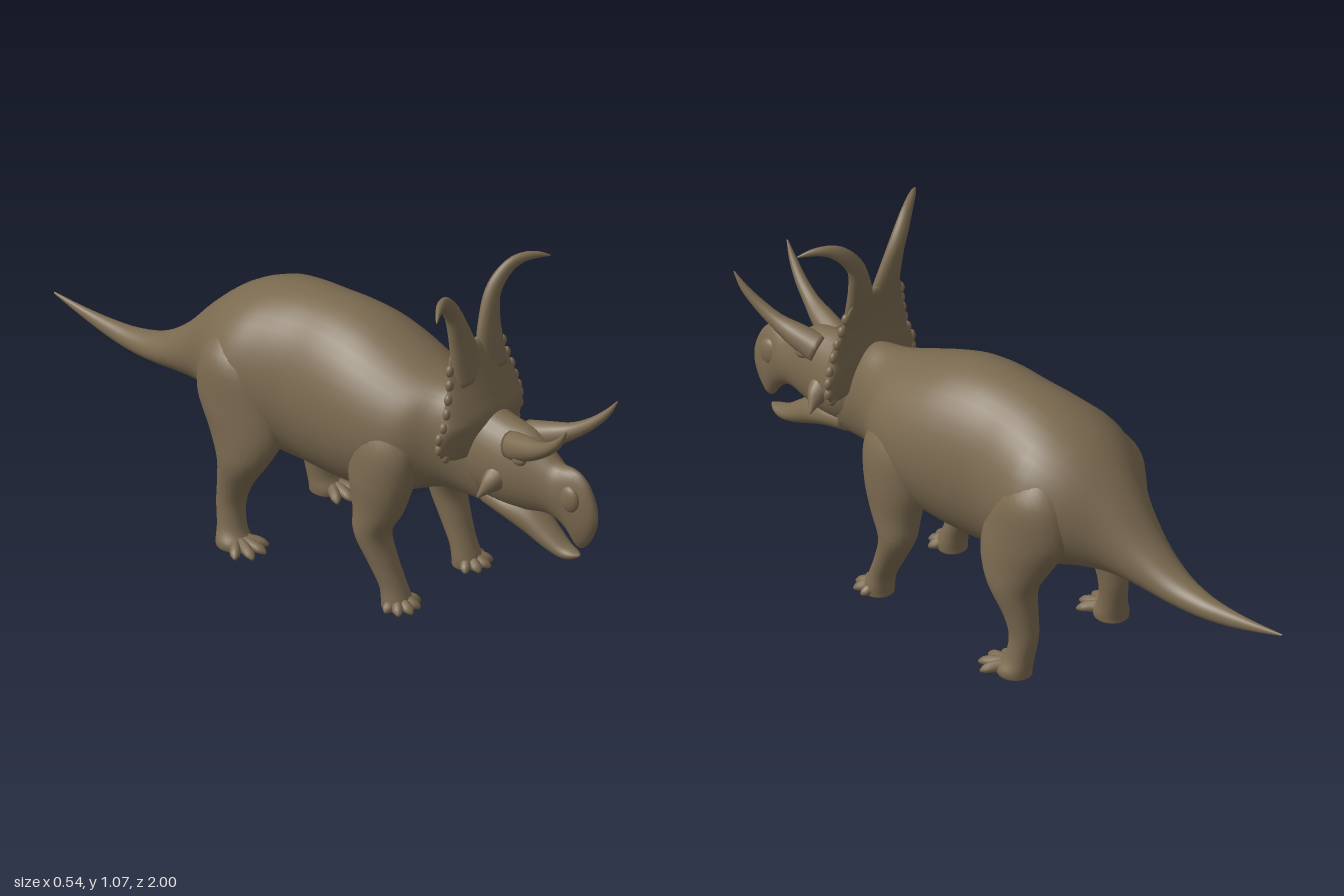
import * as THREE from 'three';

const hide = new THREE.MeshStandardMaterial({ color: 0x7b6a50 });
hide.name = 'brown hide';
const Y = new THREE.Vector3(0, 1, 0), Z = new THREE.Vector3(0, 0, 1);

// Smooth interpolation through rows of numbers
function smooth(rows, steps) {
  const out = [], n = rows.length - 1;
  for (let i = 0; i < n; i++) for (let s = 0; s < steps; s++) {
    const t = s / steps, at = k => rows[Math.min(n, Math.max(0, k))];
    out.push(rows[i].map((b, c) => {
      const a = at(i - 1)[c], d = at(i + 1)[c], e = at(i + 2)[c];
      return b + 0.5 * t * (d - a + t * (2 * a - 5 * b + 4 * d - e + t * (3 * (b - d) + e - a)));
    }));
  }
  out.push(rows[n]);
  return out;
}

// Loft of ellipses; each row is [x, y, z, radiusU, radiusV].
// mode 'z': rings in the xy plane, 'y': rings in the xz plane, 'path': rings across the path
function loft(name, rows, mode, { sides = 28, steps = 4, ref = Z, bend } = {}) {
  const pts = smooth(rows, steps), pos = [], idx = [], n = pts.length;
  const centre = i => new THREE.Vector3(...pts[Math.min(n - 1, Math.max(0, i))].slice(0, 3));
  const p = new THREE.Vector3();
  for (let i = 0; i < n; i++) {
    const u = new THREE.Vector3(1, 0, 0), v = (mode === 'z' ? Y : Z).clone();
    if (mode === 'path') {
      const t = centre(i + 1).sub(centre(i - 1)).normalize();
      u.crossVectors(t, ref).normalize();
      v.crossVectors(u, t);
    }
    for (let j = 0; j < sides; j++) {
      const a = j / sides * Math.PI * 2;
      p.copy(centre(i)).addScaledVector(u, Math.cos(a) * Math.max(0.001, pts[i][3]))
        .addScaledVector(v, Math.sin(a) * Math.max(0.001, pts[i][4]));
      if (bend) bend(p);
      pos.push(p.x, p.y, p.z);
      const k = (j + 1) % sides, q = i * sides;
      if (i < n - 1) idx.push(q + j, q + k, q + sides + j, q + k, q + sides + k, q + sides + j);
    }
  }
  pos.push(...centre(0).toArray(), ...centre(n - 1).toArray());
  const c0 = n * sides, last = (n - 1) * sides;
  for (let j = 0; j < sides; j++) {
    const k = (j + 1) % sides;
    idx.push(c0, k, j, c0 + 1, last + j, last + k);
  }
  // Turn the faces outward when the enclosed volume comes out negative
  const P = i => new THREE.Vector3().fromArray(pos, i * 3);
  let volume = 0;
  const o = P(c0);
  for (let i = 0; i < idx.length; i += 3)
    volume += P(idx[i]).sub(o).dot(P(idx[i + 1]).sub(o).cross(P(idx[i + 2]).sub(o)));
  if (volume < 0) idx.reverse();
  const g = new THREE.BufferGeometry();
  g.setAttribute('position', new THREE.Float32BufferAttribute(pos, 3));
  g.setIndex(idx);
  g.computeVertexNormals();
  const mesh = new THREE.Mesh(g, hide);
  mesh.name = name;
  return mesh;
}

// Side profile [z, top, bottom, halfWidth] to loft rows
const profile = rows => rows.map(([z, t, b, w]) => [0, (t + b) / 2, z, w, (t - b) / 2]);
const flip = (rows, s) => rows.map(([x, ...r]) => [x * s, ...r]);

function blob(name, x, y, z, rx, ry, rz) {
  const m = new THREE.Mesh(new THREE.SphereGeometry(1, 16, 12), hide);
  m.name = name;
  m.position.set(x, y, z);
  m.scale.set(rx, ry, rz);
  return m;
}

// Toes fan out from the foot; each toe is [angle, length]
function toes(group, name, x, z, s, list) {
  for (const [deg, len] of list) {
    const a = THREE.MathUtils.degToRad(deg), dx = Math.sin(a), dz = Math.cos(a);
    const row = (f, y, r, h) => [(x + dx * len * f) * s, y, z + dz * len * f, r, h];
    group.add(loft(name, [row(0.2, 0.022, 0.018, 0.02), row(0.6, 0.019, 0.016, 0.017),
      row(0.85, 0.014, 0.014, 0.012), row(1, 0.007, 0.004, 0.005)], 'path', { sides: 10, steps: 3, ref: Y }));
  }
}

export function createModel() {
  const model = new THREE.Group();
  model.name = 'horned dinosaur';

  // Trunk, neck and tail
  model.add(loft('body', profile([
    [-1, 0.402, 0.396, 0.003], [-0.9, 0.395, 0.366, 0.012], [-0.8, 0.393, 0.342, 0.023],
    [-0.7, 0.4, 0.331, 0.037], [-0.6, 0.43, 0.335, 0.055], [-0.5, 0.505, 0.345, 0.077],
    [-0.4, 0.615, 0.35, 0.115], [-0.3, 0.705, 0.34, 0.185], [-0.2, 0.757, 0.305, 0.225],
    [-0.1, 0.785, 0.272, 0.215], [0, 0.797, 0.264, 0.203], [0.1, 0.8, 0.262, 0.208],
    [0.2, 0.786, 0.267, 0.212], [0.3, 0.752, 0.285, 0.205], [0.4, 0.712, 0.335, 0.178],
    [0.47, 0.693, 0.36, 0.125], [0.54, 0.685, 0.362, 0.092], [0.63, 0.64, 0.36, 0.075]]), 'z', { sides: 40 }));

  // Skull with hooked beak, and the open lower jaw
  model.add(loft('skull', profile([
    [0.53, 0.66, 0.44, 0.06], [0.6, 0.668, 0.4, 0.088], [0.68, 0.655, 0.385, 0.088],
    [0.76, 0.645, 0.395, 0.075], [0.82, 0.605, 0.41, 0.06], [0.86, 0.58, 0.408, 0.05],
    [0.9, 0.582, 0.382, 0.042], [0.935, 0.576, 0.338, 0.034], [0.965, 0.55, 0.358, 0.026],
    [0.988, 0.505, 0.4, 0.016], [0.999, 0.465, 0.435, 0.004]]), 'z'));
  model.add(loft('lower jaw', profile([
    [0.62, 0.45, 0.365, 0.06], [0.7, 0.44, 0.35, 0.066], [0.77, 0.415, 0.32, 0.052],
    [0.83, 0.368, 0.296, 0.041], [0.88, 0.33, 0.285, 0.031], [0.915, 0.318, 0.293, 0.02],
    [0.935, 0.313, 0.306, 0.004]]), 'z'));

  // Neck frill: a wide thin shield with its sides swept back
  const frill = [[0.535, 0.59, 0.125, 0.012], [0.555, 0.59, 0.165, 0.022], [0.6, 0.592, 0.178, 0.032],
    [0.64, 0.594, 0.168, 0.042], [0.67, 0.592, 0.153, 0.042], [0.71, 0.585, 0.145, 0.034],
    [0.76, 0.574, 0.127, 0.026], [0.81, 0.562, 0.115, 0.02], [0.85, 0.552, 0.098, 0.015],
    [0.865, 0.55, 0.07, 0.006]];
  model.add(loft('frill', frill.map(([y, z, w, t]) => [0, y, z, w, t]), 'y',
    { sides: 40, bend: p => { p.z -= 0.9 * p.x * p.x; } }));

  for (const s of [1, -1]) {
    // Scalloped frill rim
    for (const [x, y, z] of [[0.15, 0.553, 0.57], [0.17, 0.585, 0.564], [0.17, 0.618, 0.565], [0.158, 0.65, 0.57],
      [0.144, 0.69, 0.57], [0.133, 0.73, 0.566], [0.121, 0.77, 0.56], [0.112, 0.81, 0.553]])
      model.add(blob('rim knob', x * s, y, z, 0.013, 0.018, 0.012));

    // Long frill horns that curl out and forward
    model.add(loft('frill horn', flip([
      [0.045, 0.76, 0.572, 0.06, 0.022], [0.053, 0.84, 0.556, 0.052, 0.023], [0.063, 0.9, 0.547, 0.041, 0.022],
      [0.08, 0.965, 0.541, 0.029, 0.021], [0.107, 1.01, 0.545, 0.025, 0.019], [0.142, 1.045, 0.558, 0.021, 0.015],
      [0.178, 1.06, 0.576, 0.015, 0.012], [0.212, 1.06, 0.597, 0.01, 0.008], [0.242, 1.052, 0.617, 0.002, 0.002]],
      s), 'path', { sides: 18 }));

    // Brow horns
    model.add(loft('brow horn', flip([
      [0.038, 0.6, 0.72, 0.04, 0.045], [0.054, 0.625, 0.79, 0.034, 0.036], [0.07, 0.652, 0.85, 0.023, 0.024],
      [0.085, 0.69, 0.905, 0.017, 0.017], [0.1, 0.735, 0.95, 0.011, 0.011], [0.109, 0.78, 0.98, 0.002, 0.002]],
      s), 'path', { sides: 16, ref: Y }));

    // Cheek spikes, eyelids and nostril ridges
    model.add(loft('cheek spike', flip([
      [0.05, 0.505, 0.69, 0.05, 0.045], [0.085, 0.49, 0.685, 0.034, 0.03], [0.11, 0.472, 0.678, 0.018, 0.015],
      [0.131, 0.455, 0.67, 0.003, 0.003]], s), 'path', { sides: 14 }));
    model.add(blob('eyelid', 0.062 * s, 0.585, 0.765, 0.016, 0.018, 0.024));
    model.add(blob('nostril ridge', 0.027 * s, 0.5, 0.92, 0.018, 0.042, 0.035));

    // Front leg
    const front = new THREE.Group();
    front.name = 'front leg';
    front.add(loft('front limb', flip([
      [0.1, 0.62, 0.33, 0.05, 0.06], [0.13, 0.51, 0.335, 0.078, 0.105], [0.145, 0.4, 0.33, 0.075, 0.105],
      [0.152, 0.3, 0.325, 0.064, 0.08], [0.16, 0.22, 0.311, 0.056, 0.054], [0.155, 0.14, 0.342, 0.047, 0.043],
      [0.15, 0.07, 0.375, 0.042, 0.038], [0.15, 0.025, 0.39, 0.046, 0.042], [0.15, 0.002, 0.39, 0.044, 0.042]],
      s), 'y', { sides: 24 }));
    toes(front, 'front toe', 0.15, 0.385, s, [[-50, 0.07], [-18, 0.075], [12, 0.078], [42, 0.074], [75, 0.062]]);
    model.add(front);

    // Hind leg
    const hind = new THREE.Group();
    hind.name = 'hind leg';
    hind.add(loft('hind limb', flip([
      [0.12, 0.66, -0.21, 0.05, 0.05], [0.143, 0.58, -0.2, 0.088, 0.11], [0.15, 0.46, -0.18, 0.092, 0.145],
      [0.168, 0.36, -0.15, 0.077, 0.12], [0.183, 0.28, -0.148, 0.064, 0.08], [0.183, 0.2, -0.175, 0.049, 0.054],
      [0.183, 0.13, -0.19, 0.041, 0.044], [0.19, 0.06, -0.182, 0.041, 0.043], [0.198, 0.022, -0.168, 0.05, 0.052],
      [0.198, 0.002, -0.168, 0.048, 0.052]], s), 'y', { sides: 24 }));
    toes(hind, 'hind toe', 0.2, -0.16, s, [[-35, 0.092], [-8, 0.1], [20, 0.1], [50, 0.088]]);
    model.add(hind);
  }
  return model;
}
